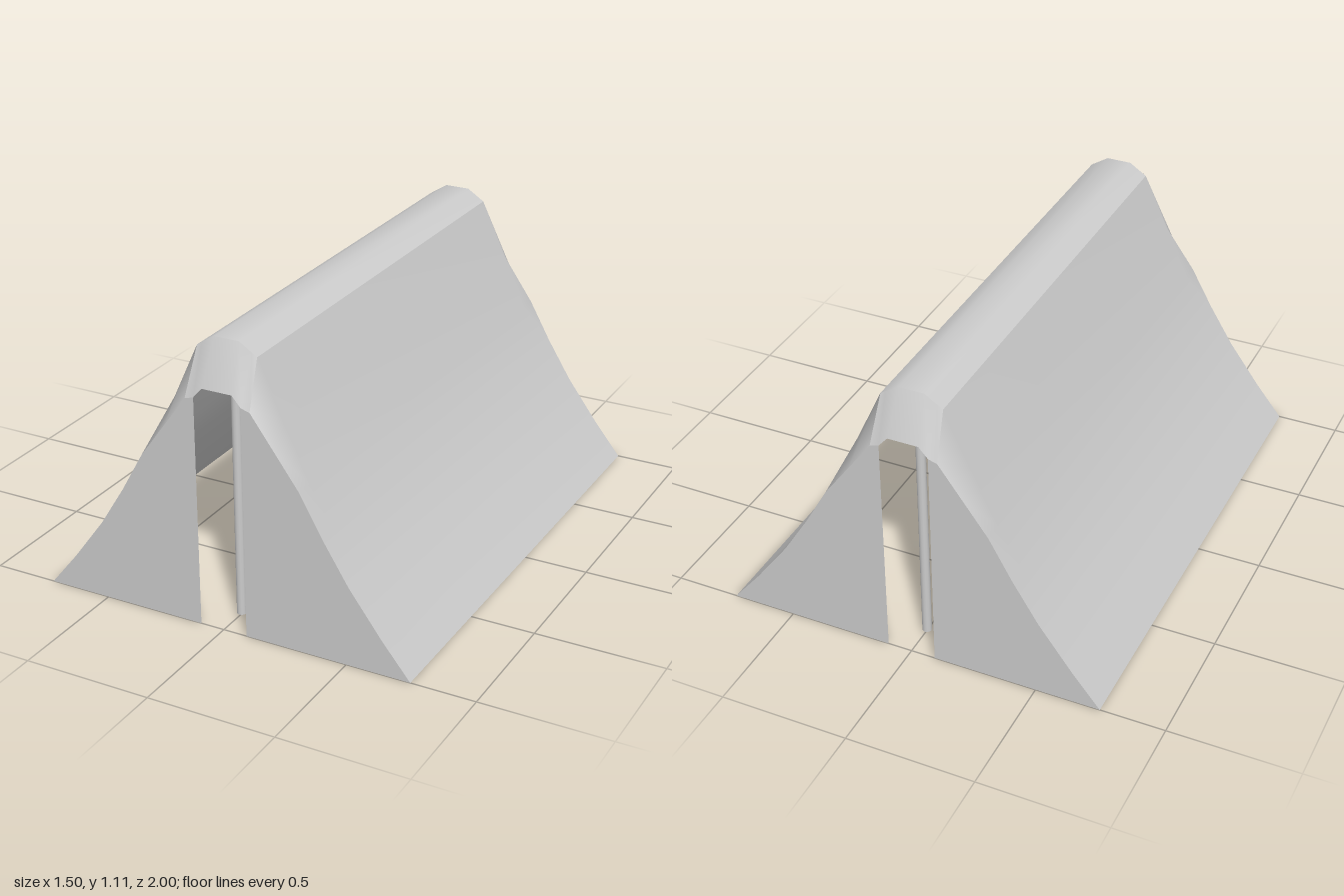
import * as THREE from 'three';

const cloth = new THREE.MeshStandardMaterial({ color: 0xcccccc, side: THREE.DoubleSide });
const RIDGE_END = 0.925; // where the ridge stops and the hood slopes down to the gable

// Smooth sheet from rows of [x, y, z] points
function sheet(rows) {
  const n = rows[0].length, index = [];
  for (let i = 0; i < rows.length - 1; i++) {
    for (let j = 0; j < n - 1; j++) {
      const a = i * n + j, b = a + 1, c = a + n, d = c + 1;
      index.push(a, b, c, b, d, c);
    }
  }
  const g = new THREE.BufferGeometry();
  g.setAttribute('position', new THREE.Float32BufferAttribute(rows.flat(2), 3));
  g.setIndex(index);
  g.computeVertexNormals();
  return g;
}

// Slope from the ridge down to the ground, along the ridge and at the gable
const lower = [[0.32, 0.63], [0.41, 0.47], [0.51, 0.31], [0.64, 0.135], [0.75, 0]];
const slope = [[0.12, 1.065], [0.22, 0.848], ...lower];
const slopeEnd = [[0.13, 0.89], [0.22, 0.767], ...lower];

export function createModel() {
  const tent = new THREE.Group();
  tent.name = 'tent';
  const add = (parent, name, geometry) => {
    const m = new THREE.Mesh(geometry, cloth);
    m.name = name;
    parent.add(m);
    return m;
  };

  // Ridge cap
  const crown = [[-0.12, 1.065], [-0.05, 1.11], [0.05, 1.11], [0.12, 1.065]];
  add(tent, 'ridgeCap', sheet(crown.map(([x, y]) =>
    [[x, y, -RIDGE_END], [x, y, RIDGE_END]])));

  // Sloping roof sides, cut back at both upper ends
  const sideGeometry = sheet(slope.map(([x, y], i) => {
    const [ex, ey] = slopeEnd[i];
    return [[ex, ey, -1], [x, y, -RIDGE_END], [x, y, RIDGE_END], [ex, ey, 1]];
  }));
  add(tent, 'leftRoof', sideGeometry);
  add(tent, 'rightRoof', sideGeometry).rotation.y = Math.PI;

  // Hood sloping from the ridge to the top of the doorway
  const mirrored = (half) => [...half.map(([x, y, z]) => [-x, y, z]), ...half.slice().reverse()];
  const hoodGeometry = sheet([
    mirrored([[0.13, 0.89, 1], [0.095, 0.9, 1], [0.06, 0.94, 1]]),
    mirrored([[0.12, 1.065, RIDGE_END], [0.1, 1.078, RIDGE_END], [0.05, 1.11, RIDGE_END]]),
  ]);

  // Half of a gable wall, beside the doorway
  const outline = [[0.095, 0], ...slopeEnd.slice().reverse(), [0.095, 0.9]];
  const wall = (sign) => new THREE.ShapeGeometry(new THREE.Shape(
    outline.map(([x, y]) => new THREE.Vector2(sign * x, y)))).translate(0, 0, 1);

  // Both ends: hood, walls and pole
  for (const [name, turn] of [['front', 0], ['back', Math.PI]]) {
    const end = new THREE.Group();
    end.name = name + 'End';
    end.rotation.y = turn;
    add(end, name + 'Hood', hoodGeometry);
    add(end, name + 'WallA', wall(1));
    add(end, name + 'WallB', wall(-1));
    add(end, name + 'Pole', new THREE.CylinderGeometry(0.018, 0.018, 1.1, 12)).position.set(0, 0.555, 0.873);
    tent.add(end);
  }
  return tent;
}
